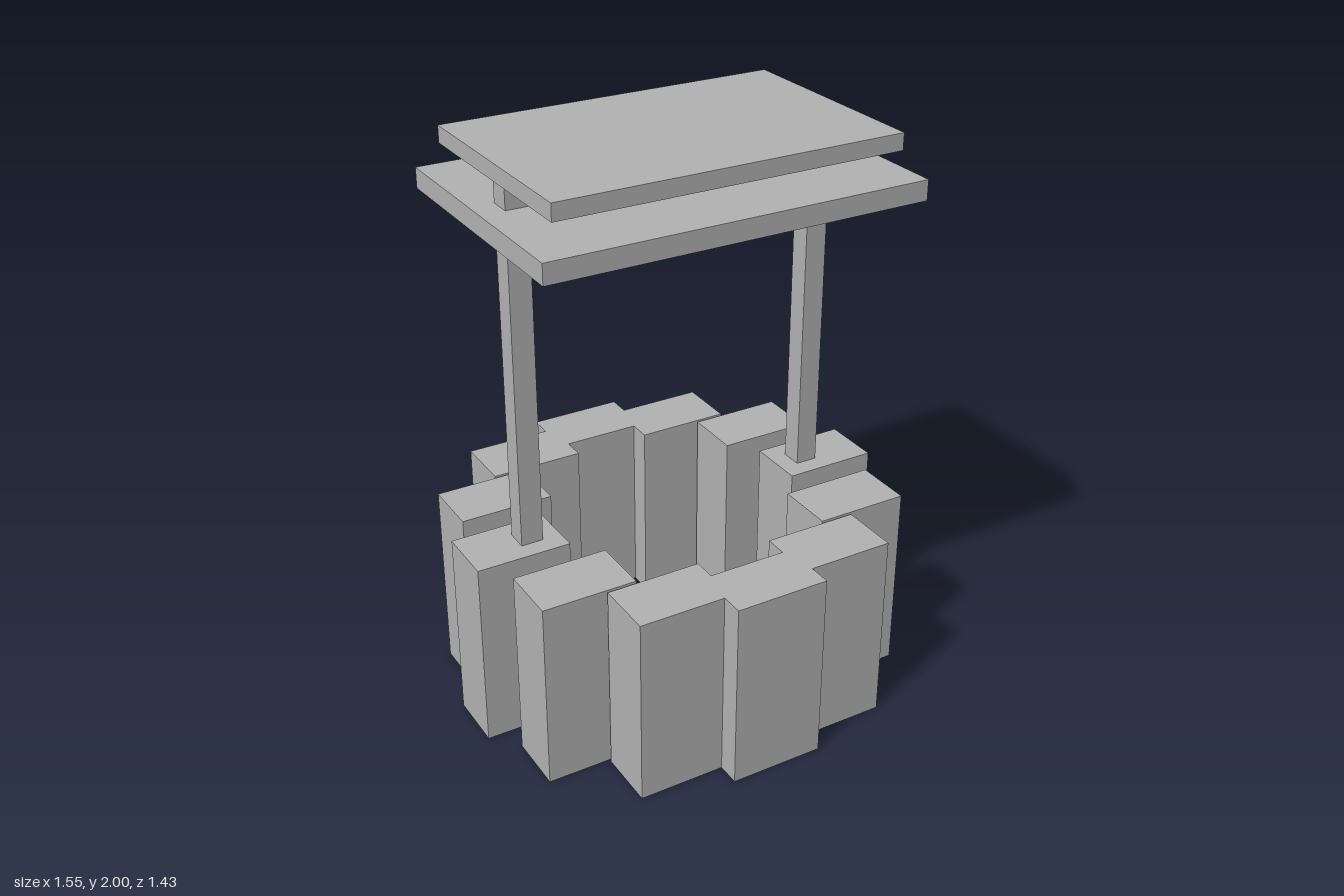
import * as THREE from 'three';

export function createModel() {
  const group = new THREE.Group();
  const stone = new THREE.MeshStandardMaterial({ color: 0xb2b2b2 });
  stone.name = 'plainGrey';

  // Box standing on height y
  function box(name, w, h, d, x, y, z) {
    const mesh = new THREE.Mesh(new THREE.BoxGeometry(w, h, d), stone);
    mesh.name = name;
    mesh.position.set(x, y + h / 2, z);
    group.add(mesh);
  }

  // Well wall: ring of twelve unrotated blocks
  const radius = 0.608;
  for (let i = 0; i < 12; i++) {
    const a = (i * Math.PI) / 6;
    box('wallBlock' + (i + 1), 0.333, 0.68, 0.211, radius * Math.sin(a), 0, radius * Math.cos(a));
  }

  // Posts carrying the roof
  box('leftPost', 0.078, 1.265, 0.078, 0.547, 0.68, 0);
  box('rightPost', 0.078, 1.265, 0.078, -0.547, 0.68, 0);

  // Two stacked roof slabs
  box('lowerRoof', 1.337, 0.07, 0.908, 0, 1.785, 0);
  box('upperRoof', 1.214, 0.058, 0.79, 0, 1.942, 0);

  return group;
}
